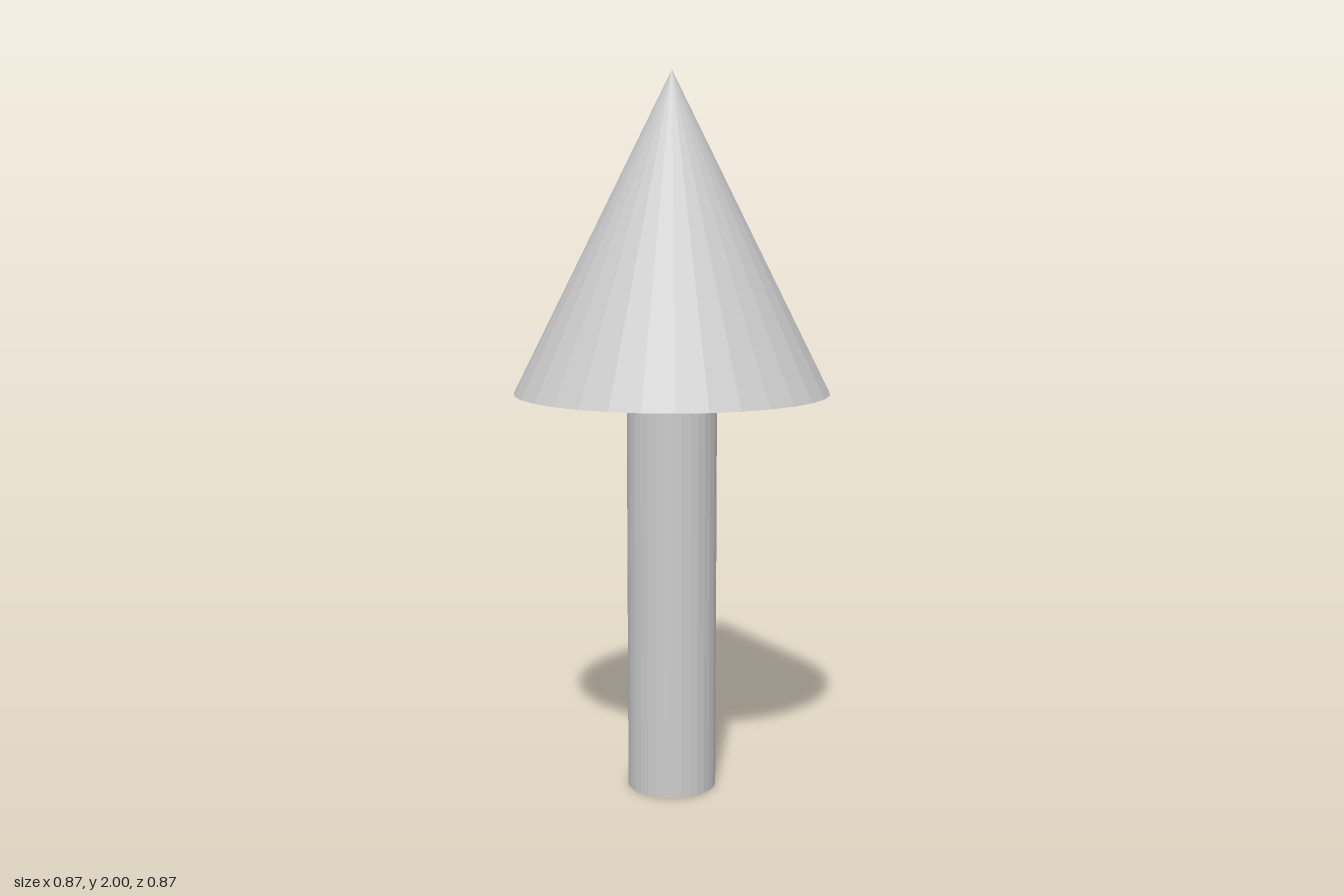
import * as THREE from 'three';

const SIDES = 32;
const HEIGHT = 2;
const HEAD_BASE = 1.13;
const HEAD_RADIUS = 0.436;
const SHAFT_RADIUS = 0.125;

export function createModel() {
  const group = new THREE.Group();
  group.name = 'arrow';
  const material = new THREE.MeshStandardMaterial({ color: 0xcccccc, flatShading: true });

  // Upright round shaft
  const shaft = new THREE.Mesh(
    new THREE.CylinderGeometry(SHAFT_RADIUS, SHAFT_RADIUS, HEAD_BASE, SIDES),
    material
  );
  shaft.name = 'shaft';
  shaft.position.y = HEAD_BASE / 2;

  // Conical head with a closed base
  const headHeight = HEIGHT - HEAD_BASE;
  const head = new THREE.Mesh(
    new THREE.ConeGeometry(HEAD_RADIUS, headHeight, SIDES),
    material
  );
  head.name = 'arrowHead';
  head.position.y = HEAD_BASE + headHeight / 2;

  group.add(shaft, head);
  return group;
}
